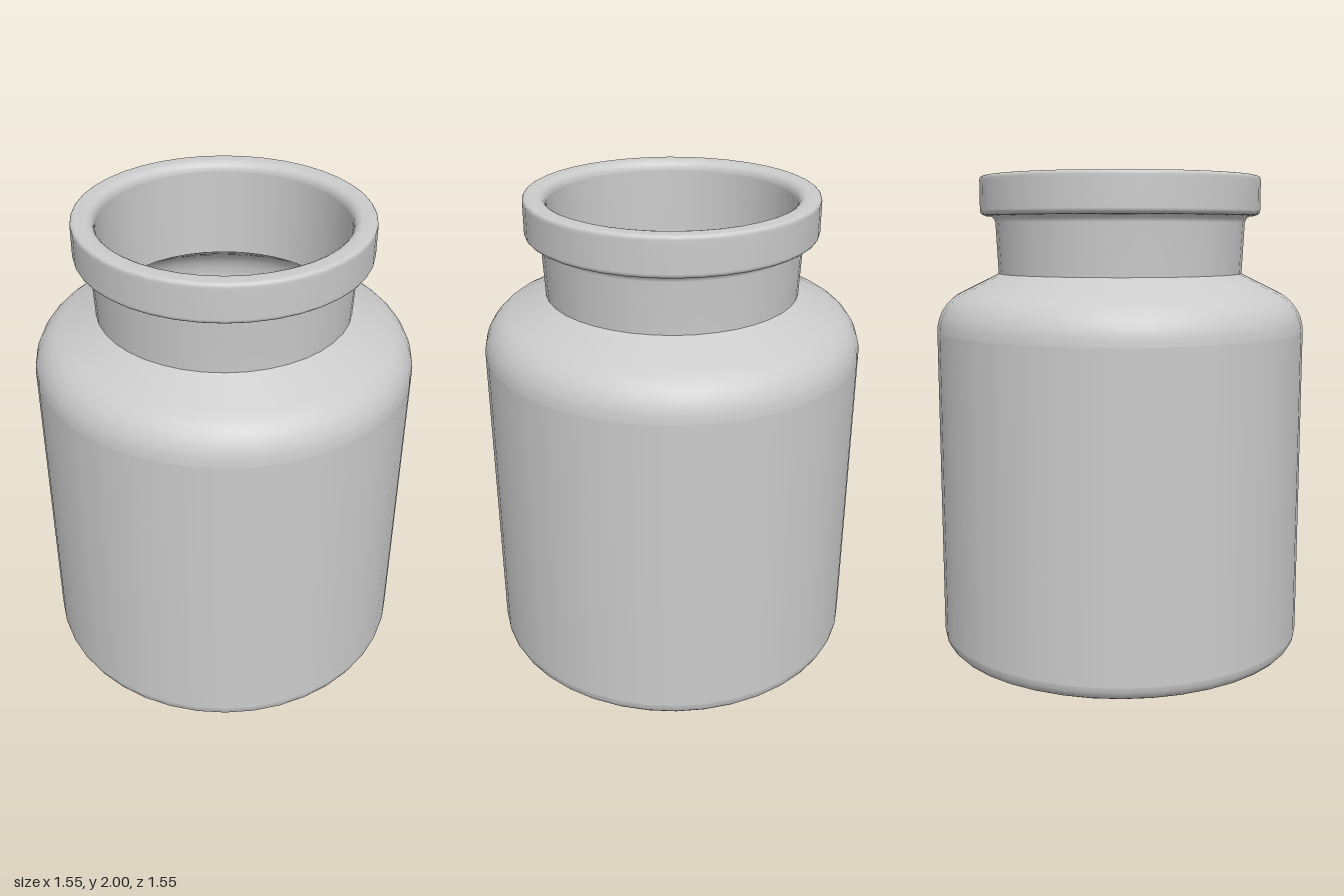
import * as THREE from 'three';

const SIDES = 40;

export function createModel() {
  const jar = new THREE.Group();
  jar.name = 'jar';
  const glass = new THREE.MeshStandardMaterial({ color: 0xcccccc, side: THREE.DoubleSide });

  // Turns a profile of [radius, height] pairs; creases lie between parts
  const turn = (name, profile) => {
    const points = profile.map(([r, y]) => new THREE.Vector2(r, y));
    const mesh = new THREE.Mesh(new THREE.LatheGeometry(points, SIDES), glass);
    mesh.name = name;
    jar.add(mesh);
  };

  // Quarter-round corner between two angles
  const arc = (cx, cy, radius, from, to, steps = 5) =>
    Array.from({ length: steps + 1 }, (_, i) => {
      const a = THREE.MathUtils.degToRad(from + ((to - from) * i) / steps);
      return [cx + radius * Math.cos(a), cy + radius * Math.sin(a)];
    });

  // Base, straight wall and rounded shoulder
  turn('base', [[0, 0], [0.68, 0], ...arc(0.71, 0.065, 0.065, -90, 0)]);
  turn('bodyWall', [[0.775, 0.065], [0.775, 1.36]]);
  turn('shoulder', [...arc(0.595, 1.36, 0.18, 0, 68, 7), [0.515, 1.6]]);

  // Neck flaring slightly into the underside of the lip
  turn('neck', [[0.515, 1.6], [0.525, 1.81], [0.53, 1.825], [0.545, 1.838]]);

  // Lip with small rounded edges, rolling into the mouth
  turn('lip', [
    [0.545, 1.838], [0.565, 1.838],
    ...arc(0.568, 1.86, 0.02, -80, 0, 4),
    [0.588, 1.975],
    ...arc(0.573, 1.985, 0.015, 0, 90, 4),
    [0.545, 2],
    ...arc(0.535, 1.962, 0.038, 90, 180),
  ]);

  // Inside surface: mouth, shoulder, wall and floor
  turn('innerNeck', [[0.497, 1.962], [0.495, 1.8], [0.493, 1.59]]);
  turn('innerShoulder', [[0.493, 1.59], ...arc(0.59, 1.36, 0.155, 68, 0, 7)]);
  turn('innerWall', [[0.745, 1.36], [0.745, 0.09]]);
  turn('innerFloor', [...arc(0.69, 0.09, 0.055, 0, -90), [0.66, 0.035], [0, 0.035]]);

  return jar;
}
